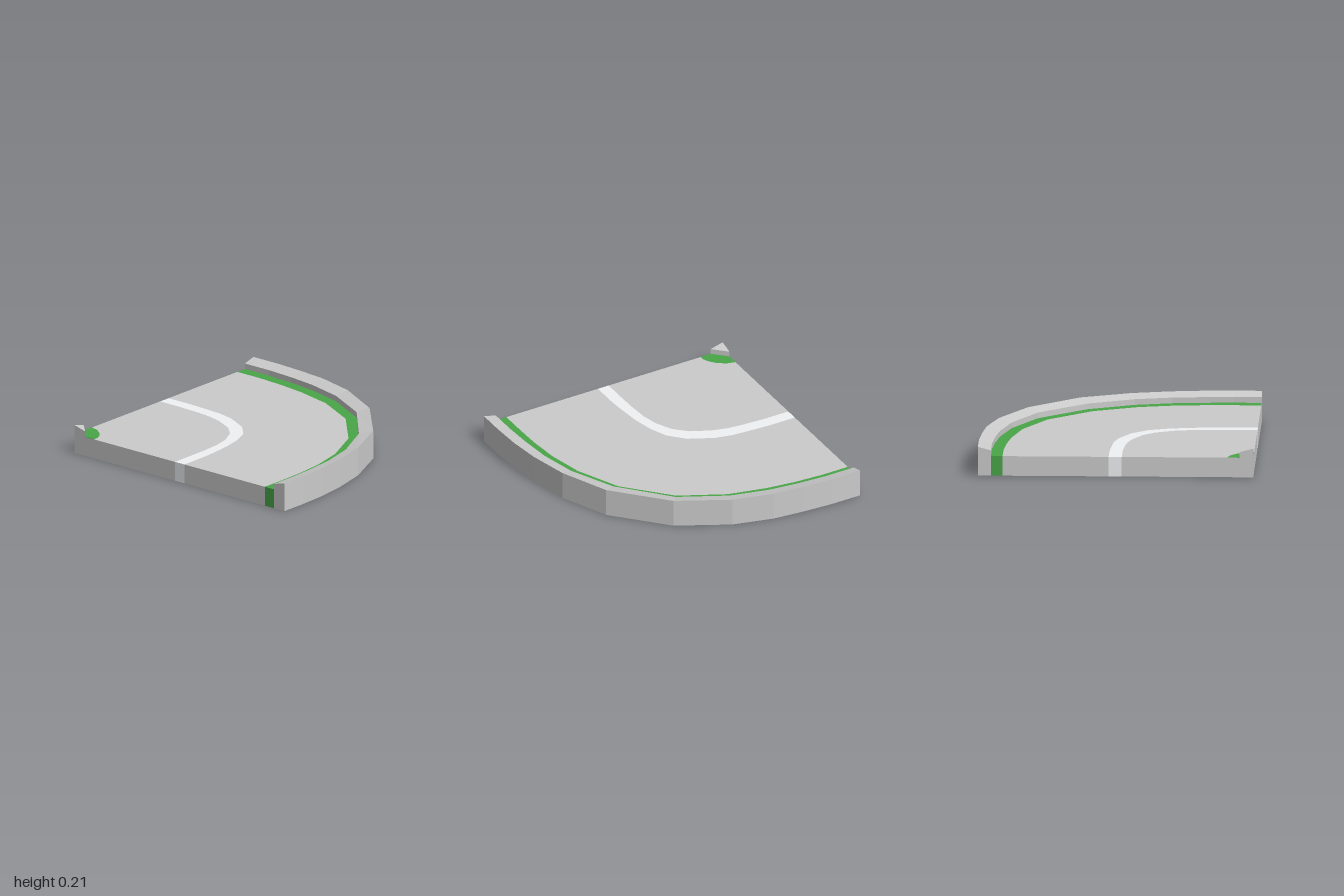
import * as THREE from 'three';

const FLOOR = 0.145, LIP = 0.187, TOP = 0.213;

// Plan curves [x, z], running from the back-left edge round to the front-right edge
const wallOuter = [[-1, -1], [-0.76, -1], [-0.53, -0.985], [-0.3, -0.96], [0, -0.88], [0.38, -0.68],
  [0.73, -0.31], [0.89, 0.05], [0.96, 0.34], [0.99, 0.57], [1, 0.8], [1, 1]];
const wallInner = [[-1, -0.905], [-0.77, -0.905], [-0.55, -0.89], [-0.32, -0.86], [-0.03, -0.785], [0.32, -0.605],
  [0.64, -0.255], [0.8, 0.08], [0.865, 0.35], [0.89, 0.6], [0.9, 0.8], [0.9, 1]];
const vergeInner = [[-1, -0.82], [-0.79, -0.82], [-0.57, -0.805], [-0.35, -0.775], [-0.06, -0.705], [0.275, -0.535],
  [0.575, -0.215], [0.725, 0.11], [0.785, 0.37], [0.807, 0.6], [0.812, 0.8], [0.812, 1]];
const lineOuter = [[-1, -0.05], [-0.8, -0.05], [-0.62, -0.04], [-0.49, -0.03], [-0.36, 0], [-0.18, 0.09],
  [-0.07, 0.205], [-0.015, 0.34], [0.02, 0.5], [0.038, 0.68], [0.045, 0.8], [0.045, 1]];
const lineInner = [[-1, 0.045], [-0.8, 0.045], [-0.62, 0.055], [-0.5, 0.07], [-0.39, 0.1], [-0.245, 0.17],
  [-0.15, 0.26], [-0.085, 0.39], [-0.058, 0.51], [-0.047, 0.67], [-0.045, 0.8], [-0.045, 1]];
const cornerLine = [0, 0.2, 0.4, 0.6, 0.8, 1].map(t => [-1 + 0.1 * t, 0.9 + 0.1 * t]);
const cornerArc = [[-1, 0.812], [-0.935, 0.827], [-0.875, 0.87], [-0.835, 0.917], [-0.815, 0.96], [-0.815, 1]];
const corner = curve => curve.map(() => [-1, 1]);

const grey = new THREE.MeshStandardMaterial({ color: 0xcccccc, flatShading: true });
const white = new THREE.MeshStandardMaterial({ color: 0xf0f2f4, flatShading: true });
const green = new THREE.MeshStandardMaterial({ color: 0x48a648, flatShading: true });

// Solid strip between two plan curves; sides: 0 inner, 1 top, 2 outer, 3 underside
function strip(name, material, inner, outer, { y0 = 0, yIn = FLOOR, yOut = FLOOR, sides = [1, 3] } = {}) {
  const pos = [];
  const tri = (a, b, c) => {
    if (new THREE.Triangle(a, b, c).getArea() < 1e-7) return;
    for (const p of [a, b, c]) pos.push(p.x, p.y, p.z);
  };
  const quad = (a, b, c, d) => { tri(a, b, c); tri(a, c, d); };
  const sections = inner.map(([xi, zi], i) => {
    const [xo, zo] = outer[i];
    return [[xi, y0, zi], [xi, yIn, zi], [xo, yOut, zo], [xo, y0, zo]].map(p => new THREE.Vector3(...p));
  });
  for (let i = 0; i < sections.length - 1; i++) {
    const s = sections[i], n = sections[i + 1];
    for (const k of sides) {
      const j = (k + 1) % 4;
      quad(s[k], n[k], n[j], s[j]);
    }
  }
  // End caps on the two straight edges
  quad(...sections[0]);
  quad(...[...sections[sections.length - 1]].reverse());
  const geometry = new THREE.BufferGeometry();
  geometry.setAttribute('position', new THREE.Float32BufferAttribute(pos, 3));
  geometry.computeVertexNormals();
  const mesh = new THREE.Mesh(geometry, material);
  mesh.name = name;
  return mesh;
}

export function createModel() {
  const group = new THREE.Group();
  group.name = 'roadCorner';
  group.add(
    // Road surface, centre line and verge, from the inside of the bend outwards
    strip('innerLane', grey, corner(lineInner), lineInner),
    strip('centreLine', white, lineInner, lineOuter),
    strip('outerLane', grey, lineOuter, vergeInner),
    strip('outerVerge', green, vergeInner, wallInner),
    // Raised kerb with a sloping top around the outside
    strip('outerKerb', grey, wallInner, wallOuter, { yIn: LIP, yOut: TOP, sides: [0, 1, 2, 3] }),
    // Small kerb and verge at the inside corner
    strip('innerVerge', green, cornerLine, cornerArc,
      { y0: FLOOR, yIn: FLOOR + 0.002, yOut: FLOOR + 0.002, sides: [1] }),
    strip('innerKerb', grey, corner([0, 0]), [cornerLine[0], cornerLine[5]],
      { y0: FLOOR, yIn: TOP, yOut: LIP, sides: [1, 2] }),
  );
  return group;
}
